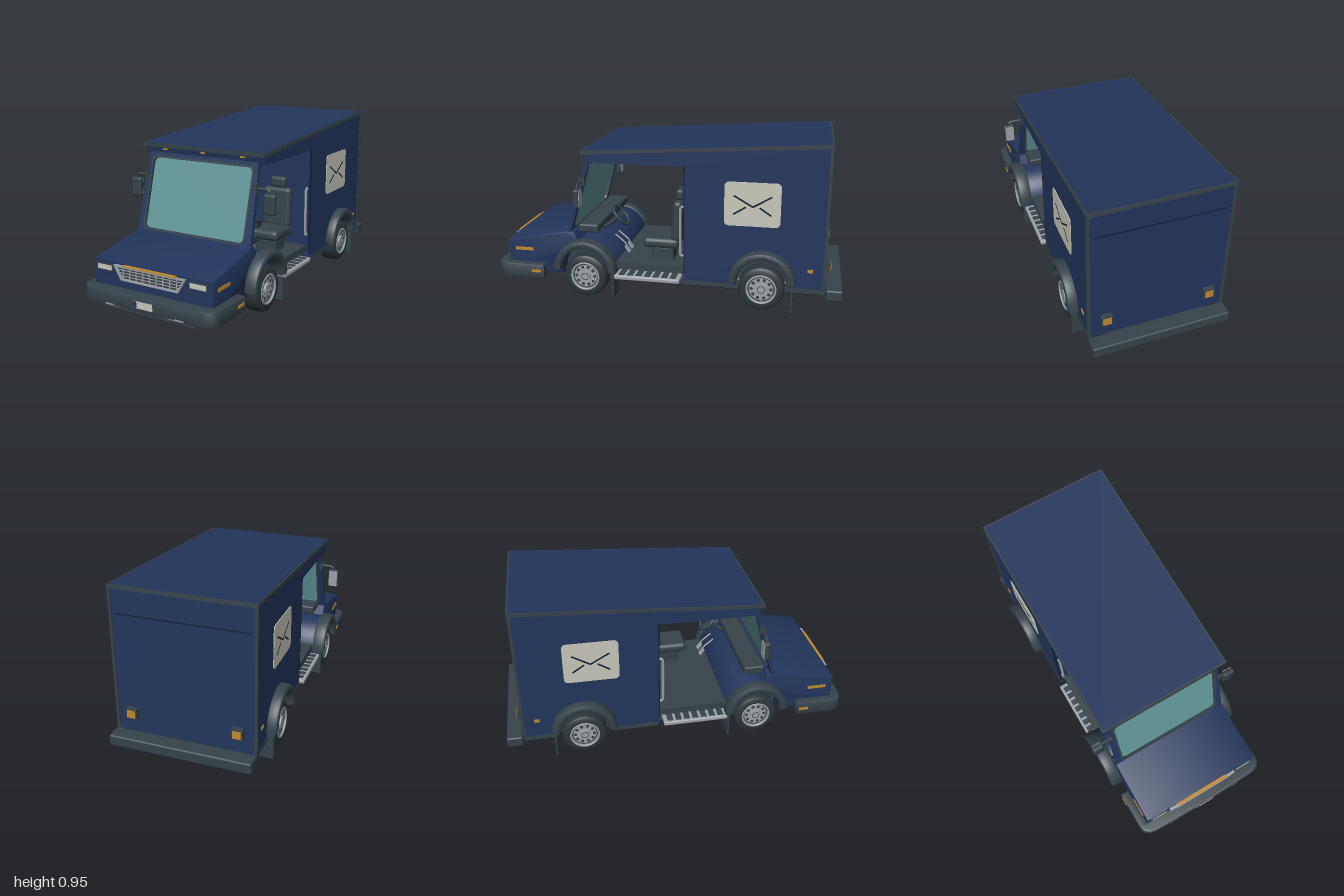
import * as THREE from 'three';
import { toCreasedNormals } from 'three/addons/utils/BufferGeometryUtils.js';
import { RoundedBoxGeometry } from 'three/addons/geometries/RoundedBoxGeometry.js';

const mat = (name, color) => Object.assign(new THREE.MeshStandardMaterial({ color }), { name });
const blue = mat('body blue', 0x22355c);
const navy = mat('dark navy', 0x141e36);
const grey = mat('dark grey', 0x36434a);
const tyreGrey = mat('tyre grey', 0x2c363b);
const silver = mat('silver', 0x9da2a7);
const cream = mat('cream', 0xc8c7bb);
const amber = mat('amber', 0xc08a30);
const glass = mat('glass', 0x629799);
glass.side = THREE.DoubleSide;

function add(parent, name, geo, material, x = 0, y = 0, z = 0) {
  const m = new THREE.Mesh(geo, material);
  m.name = name;
  m.position.set(x, y, z);
  parent.add(m);
  return m;
}
const box = (p, name, m, w, h, d, x, y, z) => add(p, name, new THREE.BoxGeometry(w, h, d), m, x, y, z);
const soft = (p, name, m, w, h, d, x, y, z, r = 0.012) =>
  add(p, name, new RoundedBoxGeometry(w, h, d, 3, r), m, x, y, z);
const both = (fn) => [1, -1].forEach(fn);

// Centred extrusion along z with an optional inset bevel
function slab(shape, depth, b = 0) {
  const d = depth - 2 * b;
  const g = new THREE.ExtrudeGeometry(shape, {
    depth: d, bevelEnabled: b > 0, bevelSize: b, bevelThickness: b, bevelOffset: -b, bevelSegments: 2, curveSegments: 24
  });
  return toCreasedNormals(g.translate(0, 0, -d / 2), 0.5);
}
// Side profile drawn as (z, y), extruded across x
const across = (shape, width, b) => slab(shape, width, b).rotateY(-Math.PI / 2);

const poly = (pts) => new THREE.Shape(pts.map(([a, b]) => new THREE.Vector2(a, b)));
function roundRect(w, h, r, Type = THREE.Shape) {
  const s = new Type(), x = w / 2, y = h / 2;
  s.moveTo(-x + r, -y).lineTo(x - r, -y).absarc(x - r, -y + r, r, -Math.PI / 2, 0);
  s.absarc(x - r, y - r, r, 0, Math.PI / 2).absarc(-x + r, y - r, r, Math.PI / 2, Math.PI);
  s.absarc(-x + r, -y + r, r, Math.PI, Math.PI * 1.5);
  return s;
}
const tube = (pts, r) => new THREE.TubeGeometry(
  new THREE.CatmullRomCurve3(pts.map((p) => new THREE.Vector3(...p)), false, 'catmullrom', 0.2), 24, r, 8);

const AXLES = [0.45, -0.56];

function makeBody(g) {
  // Cargo box with the header that runs forward over the cab
  const s = new THREE.Shape();
  s.moveTo(-0.9, 0.13).lineTo(-0.705, 0.13).absarc(-0.56, 0.15, 0.145, Math.PI, 0, true);
  s.lineTo(-0.415, 0.13).lineTo(-0.125, 0.13).lineTo(-0.125, 0.795).lineTo(0.43, 0.795);
  s.lineTo(0.442, 0.845).lineTo(-0.9, 0.93);
  add(g, 'cargoBody', across(s, 0.77), blue);

  // Hood, firewall and front wheel arch
  const h = new THREE.Shape();
  h.moveTo(0.93, 0.12).lineTo(0.93, 0.31).lineTo(0.57, 0.38).lineTo(0.52, 0.38);
  h.absarc(0.45, 0.15, 0.18, 1.3, Math.PI).lineTo(0.305, 0.15);
  h.absarc(0.45, 0.15, 0.145, Math.PI, 0, true).lineTo(0.6, 0.12);
  add(g, 'hood', across(h, 0.745, 0.012), blue);

  // Roof with grey rim
  const roof = new THREE.Group();
  roof.name = 'roof';
  roof.position.set(0, 0.891, -0.223);
  roof.rotation.x = 0.0617;
  g.add(roof);
  box(roof, 'roofRim', grey, 0.78, 0.02, 1.376, 0, 0, 0);
  box(roof, 'roofPanel', blue, 0.762, 0.006, 1.355, 0, 0.01, 0);

  // Edge trims, skirts and rear seam
  both((x) => {
    box(g, 'rearCornerTrim', grey, 0.016, 0.8, 0.016, x * 0.382, 0.53, -0.898);
    box(g, 'skirt', grey, 0.03, 0.025, 0.27, x * 0.372, 0.127, -0.265);
    box(g, 'rearSkirt', grey, 0.03, 0.025, 0.18, x * 0.372, 0.127, -0.81);
    box(g, 'doorwayTrim', navy, 0.01, 0.62, 0.006, x * 0.381, 0.485, -0.124);
  });
  box(g, 'rearSeam', navy, 0.7, 0.006, 0.004, 0, 0.79, -0.901);

  // Chassis and cab floor
  soft(g, 'chassis', grey, 0.6, 0.07, 1.46, 0, 0.103, -0.13);
  box(g, 'cabFloor', grey, 0.72, 0.04, 0.45, 0, 0.187, 0.095);
  box(g, 'floorSupport', grey, 0.6, 0.05, 0.45, 0, 0.15, 0.095);
}

function makeWindshield(g) {
  const w = new THREE.Group();
  w.name = 'windshield';
  w.position.set(0, 0.585, 0.496);
  w.rotation.x = -0.272;
  g.add(w);
  const frame = poly([[-0.368, -0.225], [0.368, -0.225], [0.35, 0.23], [-0.35, 0.23]]);
  frame.holes.push(roundRect(0.65, 0.41, 0.03, THREE.Path));
  add(w, 'windshieldFrame', slab(frame, 0.024), blue);
  const seal = roundRect(0.66, 0.42, 0.035);
  seal.holes.push(roundRect(0.638, 0.398, 0.028, THREE.Path));
  add(w, 'windshieldSeal', slab(seal, 0.03), grey);
  add(w, 'windshieldGlass', new THREE.ShapeGeometry(roundRect(0.645, 0.405, 0.03)), glass);
}

function makeNose(g) {
  // Wrap-around bumper, drawn in plan
  const b = new THREE.Shape();
  b.moveTo(0.355, 0.7).lineTo(0.418, 0.7).lineTo(0.418, 0.92);
  b.quadraticCurveTo(0.418, 0.99, 0.33, 0.993).quadraticCurveTo(0, 1.005, -0.33, 0.993);
  b.quadraticCurveTo(-0.418, 0.99, -0.418, 0.92).lineTo(-0.418, 0.7).lineTo(-0.355, 0.7);
  b.lineTo(-0.355, 0.92).lineTo(0.355, 0.92);
  add(g, 'frontBumper', slab(b, 0.085, 0.012).rotateX(Math.PI / 2), grey, 0, 0.137, 0);
  box(g, 'bumperLip', grey, 0.58, 0.035, 0.05, 0, 0.085, 0.93);
  box(g, 'bumperStrip', silver, 0.49, 0.008, 0.008, 0, 0.107, 0.993);
  box(g, 'numberPlate', cream, 0.12, 0.038, 0.006, 0, 0.14, 0.998);
  box(g, 'numberPlateBand', blue, 0.02, 0.036, 0.007, -0.048, 0.14, 0.998);

  // Tapered grille
  const outline = [[-0.225, 0.302], [-0.18, 0.225], [0.18, 0.225], [0.225, 0.302]];
  const inner = [[-0.21, 0.294], [-0.174, 0.233], [0.174, 0.233], [0.21, 0.294]];
  add(g, 'grilleBack', slab(poly(outline), 0.008), grey, 0, 0, 0.931);
  const rim = poly(outline);
  rim.holes.push(new THREE.Path(poly(inner).getPoints()));
  add(g, 'grilleFrame', slab(rim, 0.026), silver, 0, 0, 0.935);
  for (let i = -4; i <= 4; i++) box(g, 'grilleBar', silver, 0.005, 0.064, 0.006, i * 0.042, 0.263, 0.938);
  [0.247, 0.263, 0.279].forEach((y) =>
    box(g, 'grilleSlat', silver, 0.348 + (y - 0.233) * 1.1, 0.003, 0.006, 0, y, 0.937));
  box(g, 'grilleLight', amber, 0.33, 0.006, 0.028, 0, 0.304, 0.935);

  both((x) => {
    box(g, 'headlightFrame', grey, 0.108, 0.038, 0.012, x * 0.292, 0.276, 0.93);
    box(g, 'headlight', cream, 0.094, 0.026, 0.009, x * 0.292, 0.276, 0.934);
    box(g, 'hoodMarker', amber, 0.008, 0.018, 0.11, x * 0.373, 0.258, 0.83);
    box(g, 'bumperMarker', amber, 0.008, 0.016, 0.055, x * 0.418, 0.14, 0.745);
  });
  [-0.25, 0, 0.25].forEach((x) => box(g, 'roofLight', amber, 0.028, 0.008, 0.012, x, 0.827, 0.44));
}

function makeWheel(g, side, z) {
  const w = new THREE.Group();
  w.name = 'wheel';
  w.position.set(side * 0.362, 0.127, z);
  w.rotation.y = side * Math.PI / 2;
  g.add(w);
  const profile = [[0.02, -0.05], [0.108, -0.053], [0.122, -0.044], [0.127, -0.03], [0.127, 0.03],
    [0.122, 0.044], [0.108, 0.053], [0.086, 0.053], [0.08, 0.035]].map((p) => new THREE.Vector2(...p));
  add(w, 'tyre', toCreasedNormals(new THREE.LatheGeometry(profile, 40).rotateX(Math.PI / 2), 0.6), tyreGrey);
  const disc = (name, r, d, m, x, y, zz) =>
    add(w, name, new THREE.CylinderGeometry(r, r, d, 24).rotateX(Math.PI / 2), m, x, y, zz);
  disc('rim', 0.082, 0.02, silver, 0, 0, 0.03);
  add(w, 'rimLip', new THREE.TorusGeometry(0.08, 0.006, 8, 40), silver, 0, 0, 0.05);
  add(w, 'rimGroove', new THREE.RingGeometry(0.067, 0.074, 40), grey, 0, 0, 0.041);
  for (let i = 0; i < 10; i++) {
    const a = i * Math.PI / 5;
    disc('rimHole', 0.009, 0.004, grey, Math.cos(a) * 0.054, Math.sin(a) * 0.054, 0.04);
  }
  disc('hub', 0.032, 0.02, silver, 0, 0, 0.043);
  add(w, 'hubRing', new THREE.RingGeometry(0.018, 0.022, 24), grey, 0, 0, 0.054);
}

function makeRunningGear(g) {
  const well = new THREE.Shape();
  well.absarc(0, 0, 0.147, 0, Math.PI);
  const arch = new THREE.Shape();
  arch.absarc(0, 0, 0.185, 0, Math.PI).absarc(0, 0, 0.138, Math.PI, 0, true);
  AXLES.forEach((z) => {
    add(g, 'wheelWell', across(well, 0.6), grey, 0, 0.15, z);
    both((x) => {
      makeWheel(g, x, z);
      add(g, 'fender', across(arch, 0.08, 0.018), grey, x * 0.4, 0.16, z);
      box(g, 'mudFlap', grey, 0.11, 0.135, 0.01, x * 0.365, 0.075, z - 0.167);
    });
  });
  // Entry steps with dark tread slots
  both((x) => {
    soft(g, 'step', silver, 0.11, 0.026, 0.38, x * 0.355, 0.132, 0.09, 0.008);
    for (let i = 0; i < 7; i++) box(g, 'stepTread', grey, 0.085, 0.004, 0.034, x * 0.352, 0.145, -0.06 + i * 0.05);
  });
}

function makeCab(g) {
  // Driver seat
  const x = 0.2;
  soft(g, 'seatPedestal', grey, 0.13, 0.09, 0.13, x, 0.24, 0.025);
  soft(g, 'seatCushion', grey, 0.19, 0.06, 0.21, x, 0.312, 0.03, 0.025);
  soft(g, 'seatBack', grey, 0.18, 0.24, 0.055, x, 0.445, -0.06, 0.025).rotation.x = -0.06;
  soft(g, 'headrest', grey, 0.1, 0.065, 0.045, x, 0.595, -0.072, 0.018);

  // Dashboard, steering and pedals
  soft(g, 'dashboard', grey, 0.66, 0.05, 0.12, 0, 0.39, 0.45);
  add(g, 'steeringWheel', new THREE.TorusGeometry(0.066, 0.008, 8, 32), grey, x, 0.445, 0.288).rotation.x = 0.71;
  box(g, 'steeringSpoke', grey, 0.125, 0.02, 0.008, x, 0.442, 0.292).rotation.x = 0.71;
  add(g, 'steeringColumn', tube([[x, 0.445, 0.288], [x, 0.4, 0.34], [x, 0.36, 0.4]], 0.012), grey);
  [-0.05, 0.02].forEach((dx) => {
    add(g, 'pedalArm', tube([[x + dx, 0.33, 0.32], [x + dx, 0.28, 0.26], [x + dx, 0.25, 0.25]], 0.005), silver);
    box(g, 'pedal', silver, 0.035, 0.045, 0.008, x + dx, 0.245, 0.245).rotation.x = 0.6;
  });

  both((s) => {
    // Handrail beside the doorway
    const rx = s * 0.366;
    add(g, 'handrail', tube([[rx, 0.28, -0.122], [rx, 0.285, -0.1], [rx, 0.555, -0.1], [rx, 0.56, -0.122]], 0.008), silver);
    // Door mirror
    box(g, 'mirrorMount', grey, 0.016, 0.05, 0.035, s * 0.352, 0.678, 0.47);
    add(g, 'mirrorArm', tube([[s * 0.35, 0.677, 0.472], [s * 0.41, 0.677, 0.472], [s * 0.43, 0.668, 0.472], [s * 0.434, 0.64, 0.472]], 0.008), grey);
    soft(g, 'mirrorHousing', grey, 0.066, 0.11, 0.034, s * 0.433, 0.6, 0.473);
    box(g, 'mirrorGlass', silver, 0.052, 0.094, 0.004, s * 0.433, 0.6, 0.455);
  });
}

function makeSideAndRearDetails(g) {
  // Envelope panel strokes as [z, y] start and end
  const strokes = [[-0.395, 0.65, -0.5, 0.59], [-0.5, 0.59, -0.6, 0.65],
    [-0.395, 0.545, -0.462, 0.588], [-0.6, 0.545, -0.536, 0.588]];
  both((s) => {
    add(g, 'sidePanel', across(roundRect(0.305, 0.245, 0.025), 0.006), cream, s * 0.386, 0.603, -0.497);
    strokes.forEach(([z1, y1, z2, y2]) => {
      const len = Math.hypot(z2 - z1, y2 - y1);
      box(g, 'envelopeLine', navy, 0.005, 0.009, len, s * 0.388, (y1 + y2) / 2, (z1 + z2) / 2)
        .rotation.x = -Math.atan2(y2 - y1, z2 - z1);
    });
    box(g, 'rearSideMarker', amber, 0.008, 0.018, 0.03, s * 0.386, 0.245, -0.82);
    box(g, 'tailLightFrame', grey, 0.06, 0.056, 0.03, s * 0.29, 0.245, -0.914);
    box(g, 'tailLight', amber, 0.046, 0.042, 0.008, s * 0.29, 0.245, -0.929);
  });
  soft(g, 'rearBumper', grey, 0.78, 0.062, 0.09, 0, 0.11, -0.955, 0.01);
  box(g, 'rearBumperMount', grey, 0.6, 0.04, 0.1, 0, 0.11, -0.88);
}

export function createModel() {
  const g = new THREE.Group();
  g.name = 'deliveryVan';
  [makeBody, makeWindshield, makeNose, makeRunningGear, makeCab, makeSideAndRearDetails].forEach((make) => make(g));
  return g;
}
